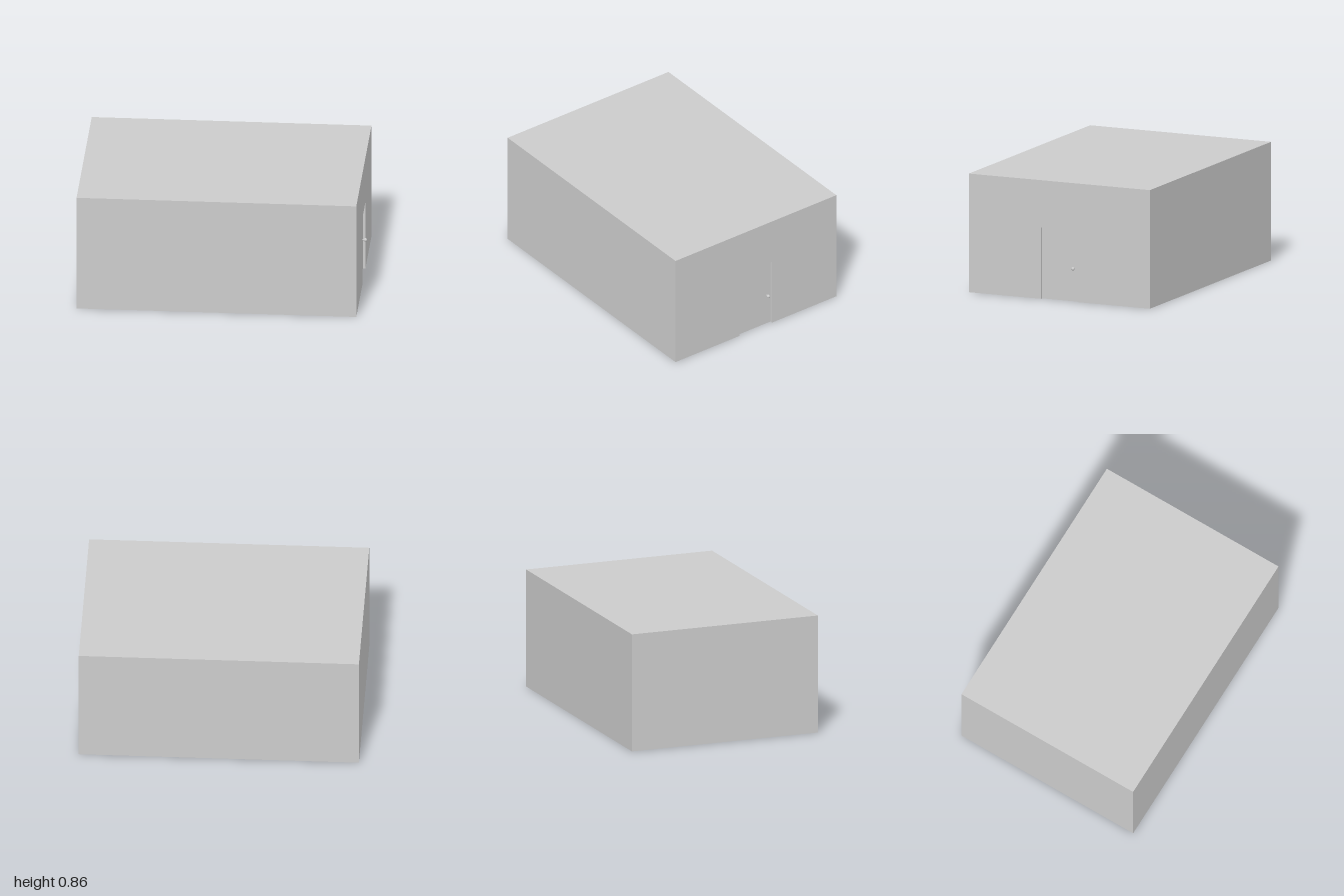
import * as THREE from 'three';

const X0 = -1, X1 = 0.985;            // left and right walls
const Z = 0.71, H = 0.855;            // half depth, height
const DOOR = 0.143, DOOR_H = 0.513;   // door half width, height
const RECESS = 0.018, NOTCH = 0.4;    // door recess, floor opening depth

export function createModel() {
  const group = new THREE.Group();
  const material = new THREE.MeshStandardMaterial({ color: 0xcccccc, side: THREE.DoubleSide, flatShading: true });
  const smooth = new THREE.MeshStandardMaterial({ color: 0xcccccc });

  const add = (name, geometry, x, y, z, mat = material) => {
    const mesh = new THREE.Mesh(geometry, mat);
    mesh.name = name;
    mesh.position.set(x, y, z);
    group.add(mesh);
    return mesh;
  };
  const outline = (points) =>
    new THREE.ShapeGeometry(new THREE.Shape(points.map(([x, y]) => new THREE.Vector2(x, y))));

  const length = X1 - X0, midX = (X0 + X1) / 2;

  // Plain walls and flat roof of the hollow shell
  add('frontWall', new THREE.PlaneGeometry(length, H), midX, H / 2, Z);
  add('backWall', new THREE.PlaneGeometry(length, H).rotateY(Math.PI), midX, H / 2, -Z);
  add('endWall', new THREE.PlaneGeometry(2 * Z, H).rotateY(-Math.PI / 2), X0, H / 2, 0);
  add('roof', new THREE.PlaneGeometry(length, 2 * Z).rotateX(-Math.PI / 2), midX, H, 0);

  // Wall with the doorway cut out
  add('doorWall', outline([
    [-Z, 0], [-DOOR, 0], [-DOOR, DOOR_H], [DOOR, DOOR_H],
    [DOOR, 0], [Z, 0], [Z, H], [-Z, H],
  ]).rotateY(Math.PI / 2), X1, 0, 0);

  // Floor with an opening behind the doorway
  add('floor', outline([
    [X0, -Z], [X1, -Z], [X1, -DOOR], [X1 - NOTCH, -DOOR],
    [X1 - NOTCH, DOOR], [X1, DOOR], [X1, Z], [X0, Z],
  ]).rotateX(Math.PI / 2), 0, 0, 0);

  // Recessed door with its jambs and lintel
  const doorX = X1 - RECESS, jambX = X1 - RECESS / 2;
  add('door', new THREE.PlaneGeometry(2 * DOOR, DOOR_H).rotateY(Math.PI / 2), doorX, DOOR_H / 2, 0);
  for (const side of [-1, 1]) {
    const jamb = new THREE.PlaneGeometry(RECESS, DOOR_H);
    if (side > 0) jamb.rotateY(Math.PI);
    add(side > 0 ? 'frontJamb' : 'backJamb', jamb, jambX, DOOR_H / 2, side * DOOR);
  }
  add('lintel', new THREE.PlaneGeometry(RECESS, 2 * DOOR).rotateX(Math.PI / 2), jambX, DOOR_H, 0);

  // Round knob on a short stem
  add('knob', new THREE.SphereGeometry(0.0125, 24, 16), 0.9875, 0.237, -0.108, smooth);
  add('knobStem', new THREE.CylinderGeometry(0.005, 0.005, 0.02, 16).rotateZ(Math.PI / 2),
    doorX + 0.01, 0.237, -0.108, smooth);

  return group;
}
